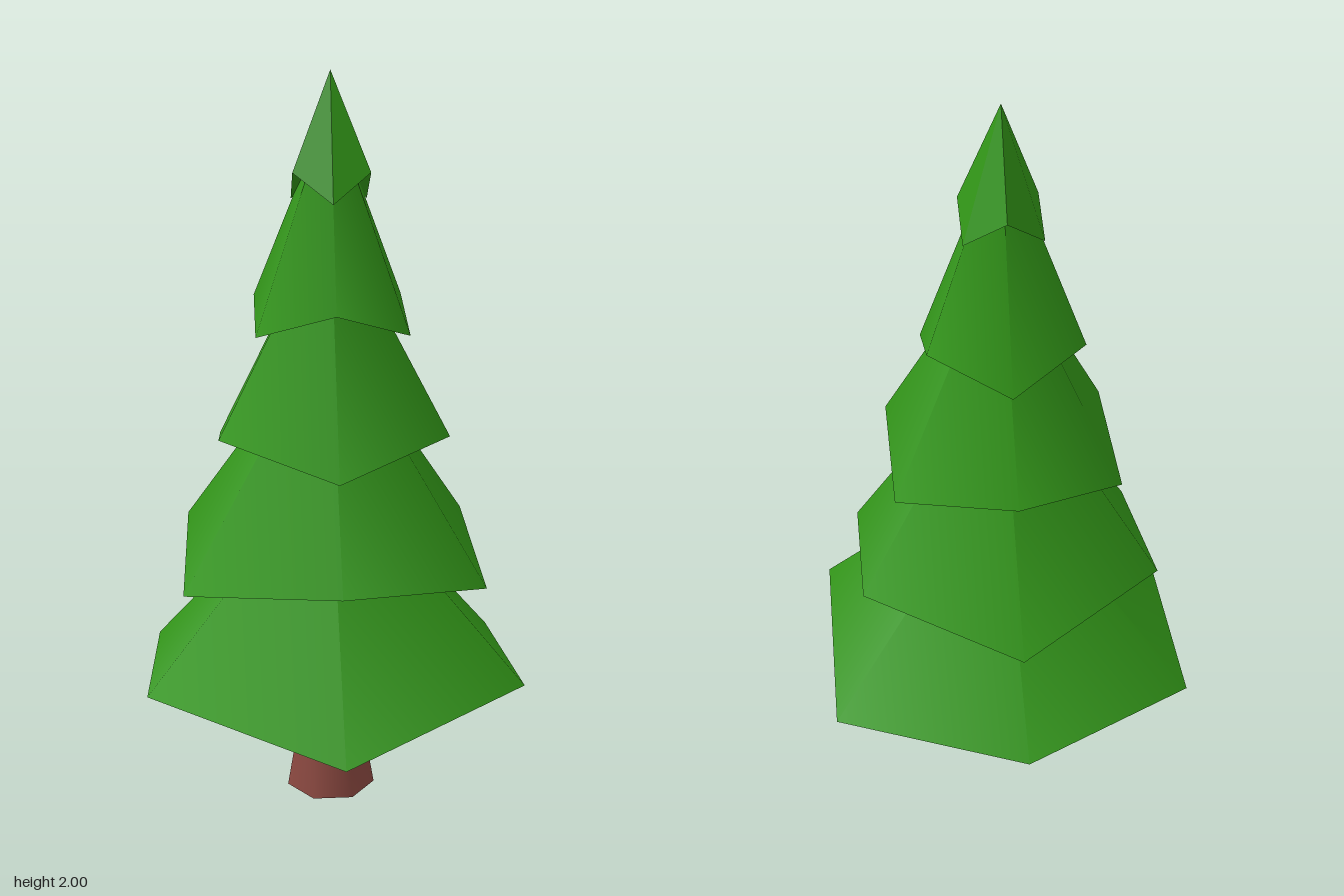
import * as THREE from 'three';

const SIDES = 6;

// Open six-sided cone whose rim corners alternate between two heights.
function zigzagCone(radius, apexY, frontY, otherY) {
  const geo = new THREE.ConeGeometry(radius, apexY - (frontY + otherY) / 2, SIDES, 1, true);
  const pos = geo.attributes.position;
  for (let i = 0; i < pos.count; i++) {
    const isRim = i > SIDES;
    const corner = i - (SIDES + 1);
    pos.setY(i, isRim ? (corner % 2 === 0 ? frontY : otherY) : apexY);
  }
  return geo;
}

// Turns a surface inside out and gives it flat normals.
function flipped(geo) {
  const idx = geo.index.array;
  for (let i = 0; i < idx.length; i += 3) [idx[i], idx[i + 1]] = [idx[i + 1], idx[i]];
  const flat = geo.toNonIndexed();
  flat.computeVertexNormals();
  return flat;
}

export function createModel() {
  const tree = new THREE.Group();
  tree.name = 'tree';
  const green = new THREE.MeshStandardMaterial({ color: 0x319417 });
  const greenFlat = new THREE.MeshStandardMaterial({ color: 0x319417, flatShading: true });
  const brown = new THREE.MeshStandardMaterial({ color: 0x8a4840 });

  const add = (parent, name, geo, mat) => {
    const mesh = new THREE.Mesh(geo, mat);
    mesh.name = name;
    parent.add(mesh);
  };

  // Trunk: seven sides, flared at the foot
  const trunk = new THREE.Group();
  trunk.name = 'trunk';
  const profile = [[0.128, 0], [0.086, 0.24], [0.07, 0.55]].map(p => new THREE.Vector2(...p));
  add(trunk, 'trunkSides', new THREE.LatheGeometry(profile, 7, Math.PI), brown);
  add(trunk, 'trunkBase', new THREE.CircleGeometry(0.128, 7, -Math.PI / 2).rotateX(Math.PI / 2), brown);
  tree.add(trunk);

  // Branch tiers, bottom to top: apex height, front corner height, next corner height
  const tiers = [
    [0.98, 0.35, 0.423],
    [1.36, 0.753, 0.68],
    [1.65, 1.012, 1.085],
    [1.92, 1.413, 1.34],
    [2.0, 1.675, 1.75],
  ];
  tiers.forEach(([apexY, frontY, otherY], i) => {
    const radius = 0.5774 * (1 - i / tiers.length);
    const hollowY = (frontY + otherY) / 2 + 0.11;
    const tier = new THREE.Group();
    tier.name = `branchTier${i + 1}`;
    add(tier, 'tierTop', zigzagCone(radius, apexY, frontY, otherY), i === 4 ? greenFlat : green);
    add(tier, 'tierUnderside', flipped(zigzagCone(radius, hollowY, frontY, otherY)), green);
    tree.add(tier);
  });

  return tree;
}
